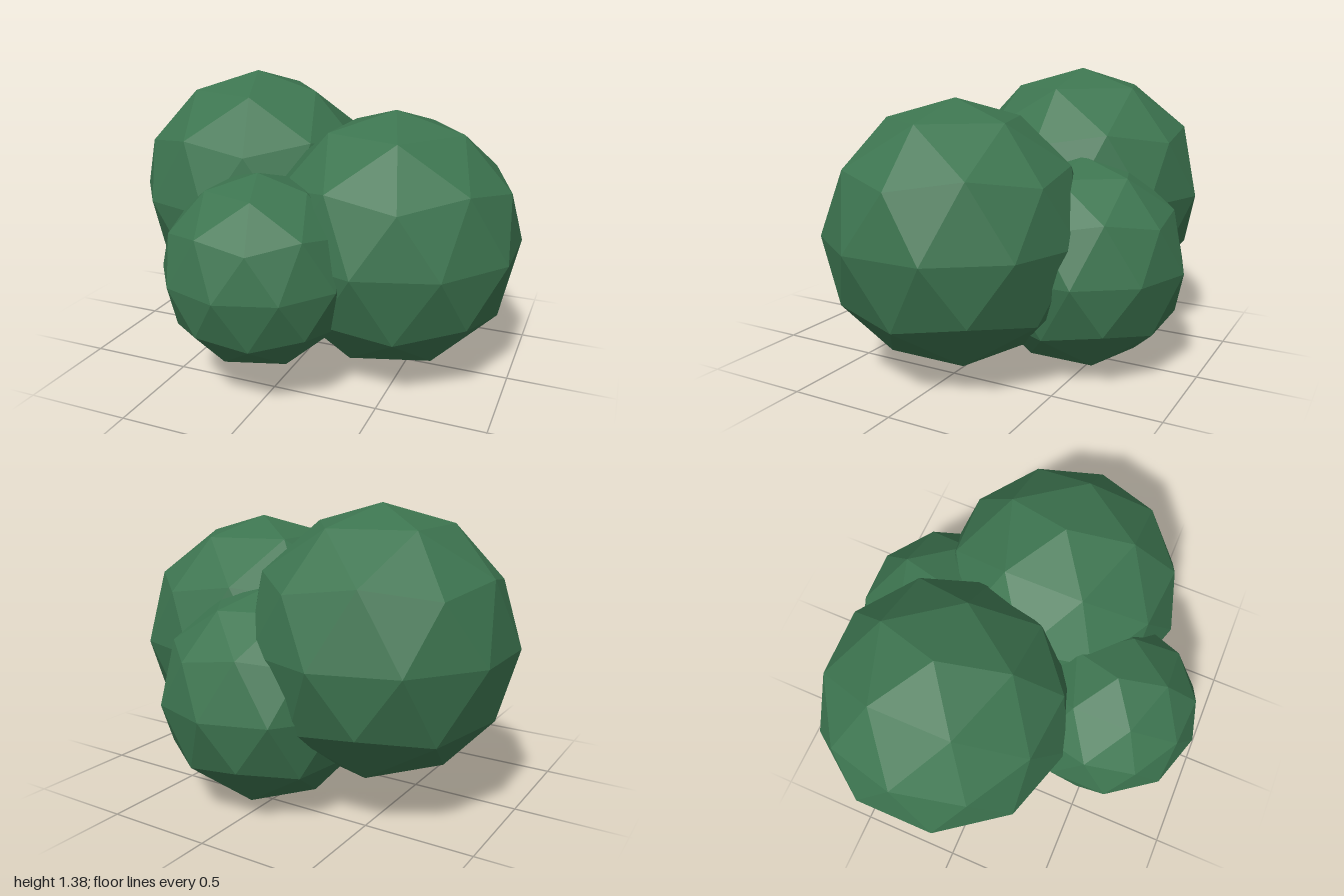
import * as THREE from 'three';

// Low-poly bush made of four overlapping faceted clumps.
export function createModel() {
  const bush = new THREE.Group();
  bush.name = 'bush';

  const leafGreen = new THREE.MeshStandardMaterial({ color: 0x3d7550, flatShading: true });
  leafGreen.name = 'leafGreen';

  // Unit icosphere turned so that one corner points straight up
  const clump = new THREE.IcosahedronGeometry(1, 1);
  clump.rotateZ(-Math.atan2(1, (1 + Math.sqrt(5)) / 2));

  // name, radius, centre
  const clumps = [
    ['rightClump', 0.615, [-0.414, 0.765, -0.226]],
    ['leftClump', 0.612, [0.414, 0.658, 0.028]],
    ['frontClump', 0.446, [-0.07, 0.59, 0.488]],
    ['backClump', 0.497, [0.06, 0.5, -0.438]],
  ];
  for (const [name, radius, centre] of clumps) {
    const mesh = new THREE.Mesh(clump, leafGreen);
    mesh.name = name;
    mesh.scale.setScalar(radius);
    mesh.position.set(...centre);
    bush.add(mesh);
  }
  return bush;
}
